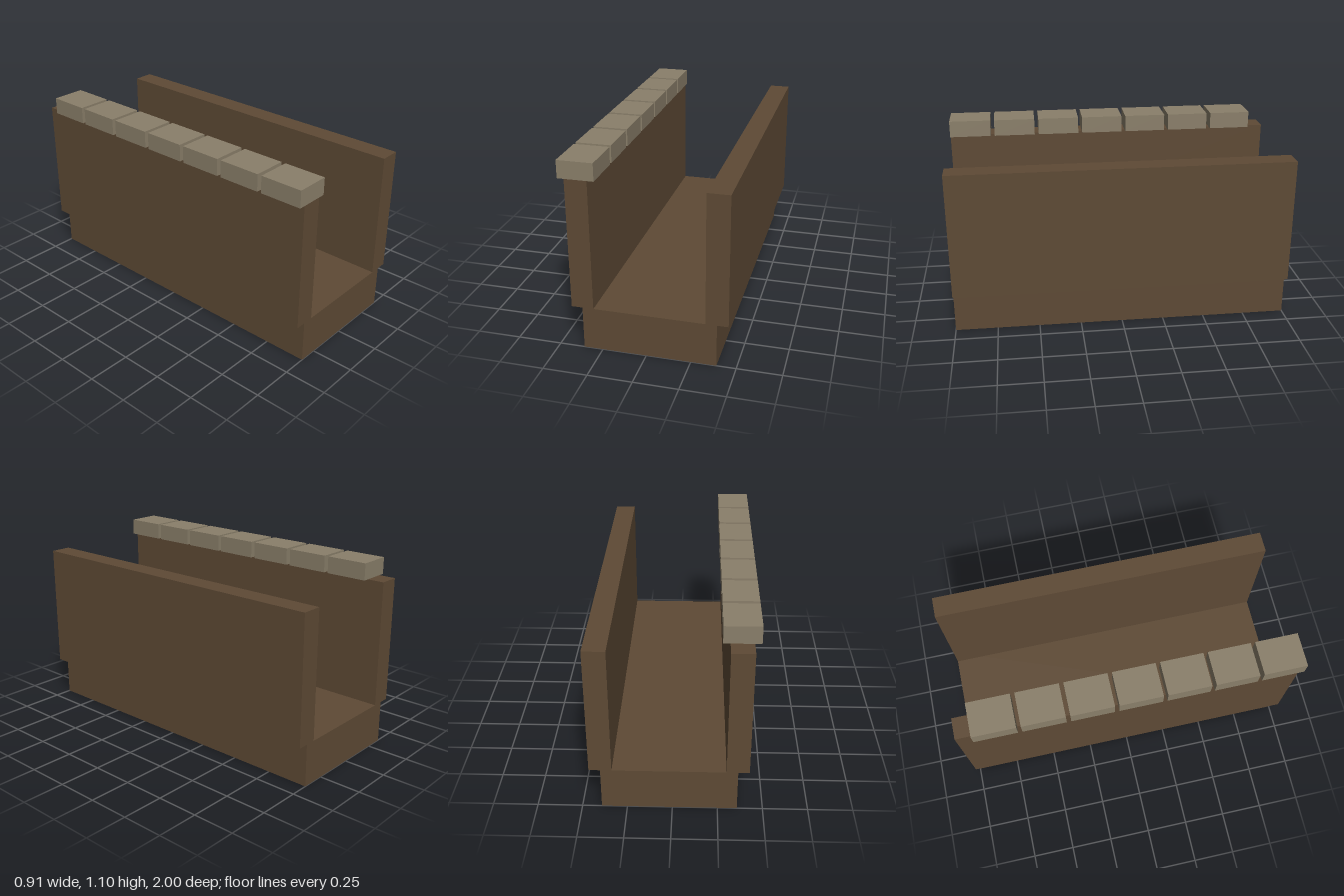
import * as THREE from 'three';

export function createModel() {
  const model = new THREE.Group();
  const wood = new THREE.MeshStandardMaterial({ color: 0x5e4a35 });
  const stone = new THREE.MeshStandardMaterial({ color: 0x8a7f6a });

  // Box given by its lower and upper limits on each axis
  function addBox(name, material, [x0, x1], [y0, y1], [z0, z1]) {
    const mesh = new THREE.Mesh(new THREE.BoxGeometry(x1 - x0, y1 - y0, z1 - z0), material);
    mesh.position.set((x0 + x1) / 2, (y0 + y1) / 2, (z0 + z1) / 2);
    mesh.name = name;
    model.add(mesh);
  }

  // Channel: a floor with two overhanging side walls
  addBox('floor', wood, [-0.358, 0.392], [0, 0.25], [-1, 1]);
  addBox('rightWall', wood, [-0.42, -0.295], [0.25, 1], [-1, 1]);
  addBox('leftWall', wood, [0.33, 0.455], [0.25, 1], [-1, 1]);

  // Row of capstones on the right wall, starting flush with the front
  const length = 0.25, pitch = 0.275;
  for (let i = 0; i < 7; i++) {
    const front = 1 - i * pitch;
    addBox(`capstone${i + 1}`, stone, [-0.457, -0.257], [1, 1.1], [front - length, front]);
  }

  return model;
}
